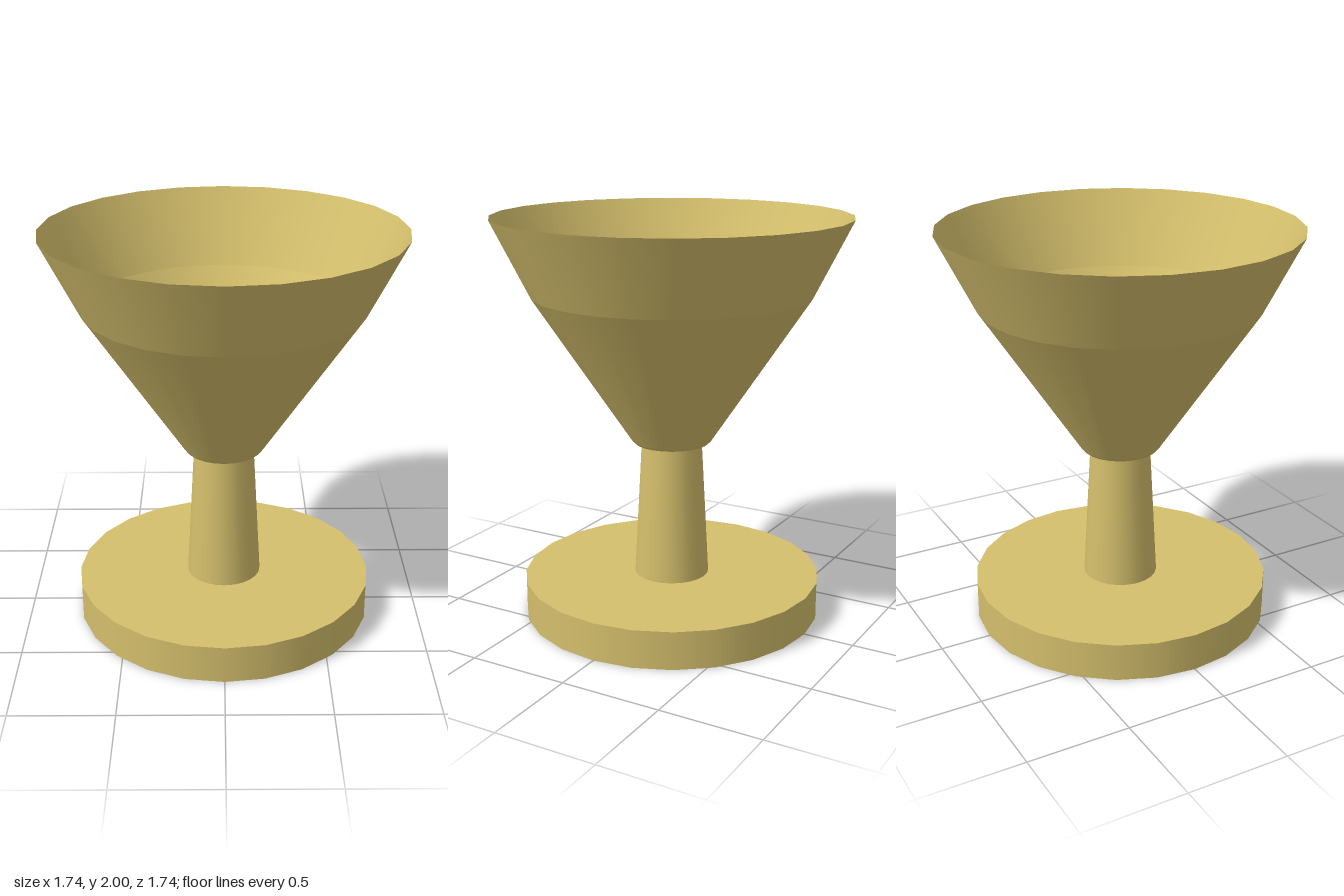
import * as THREE from 'three';

const SIDES = 24;

export function createModel() {
  const model = new THREE.Group();
  const brass = new THREE.MeshStandardMaterial({ color: 0xd4bf6c, side: THREE.DoubleSide });
  brass.name = 'brass';

  // One straight-sided round section standing between two heights
  function section(name, rBottom, yBottom, rTop, yTop, open) {
    const geometry = new THREE.CylinderGeometry(rTop, rBottom, yTop - yBottom, SIDES, 1, open);
    const mesh = new THREE.Mesh(geometry, brass);
    mesh.name = name;
    mesh.position.y = (yBottom + yTop) / 2;
    return mesh;
  }

  // Foot disc and tapered stem
  model.add(section('base', 0.748, 0, 0.748, 0.19, false));
  model.add(section('stem', 0.187, 0.19, 0.15, 0.88, false));

  // Thin bowl, open at the rim and around the top of the stem
  const bowl = new THREE.Group();
  bowl.name = 'bowl';
  const profile = [[0.188, 0.88], [0.2, 0.892], [0.685, 1.625], [0.872, 2]];
  const names = ['bowlLip', 'bowlCone', 'bowlRim'];
  names.forEach((name, i) => bowl.add(section(name, ...profile[i], ...profile[i + 1], true)));
  model.add(bowl);

  return model;
}
